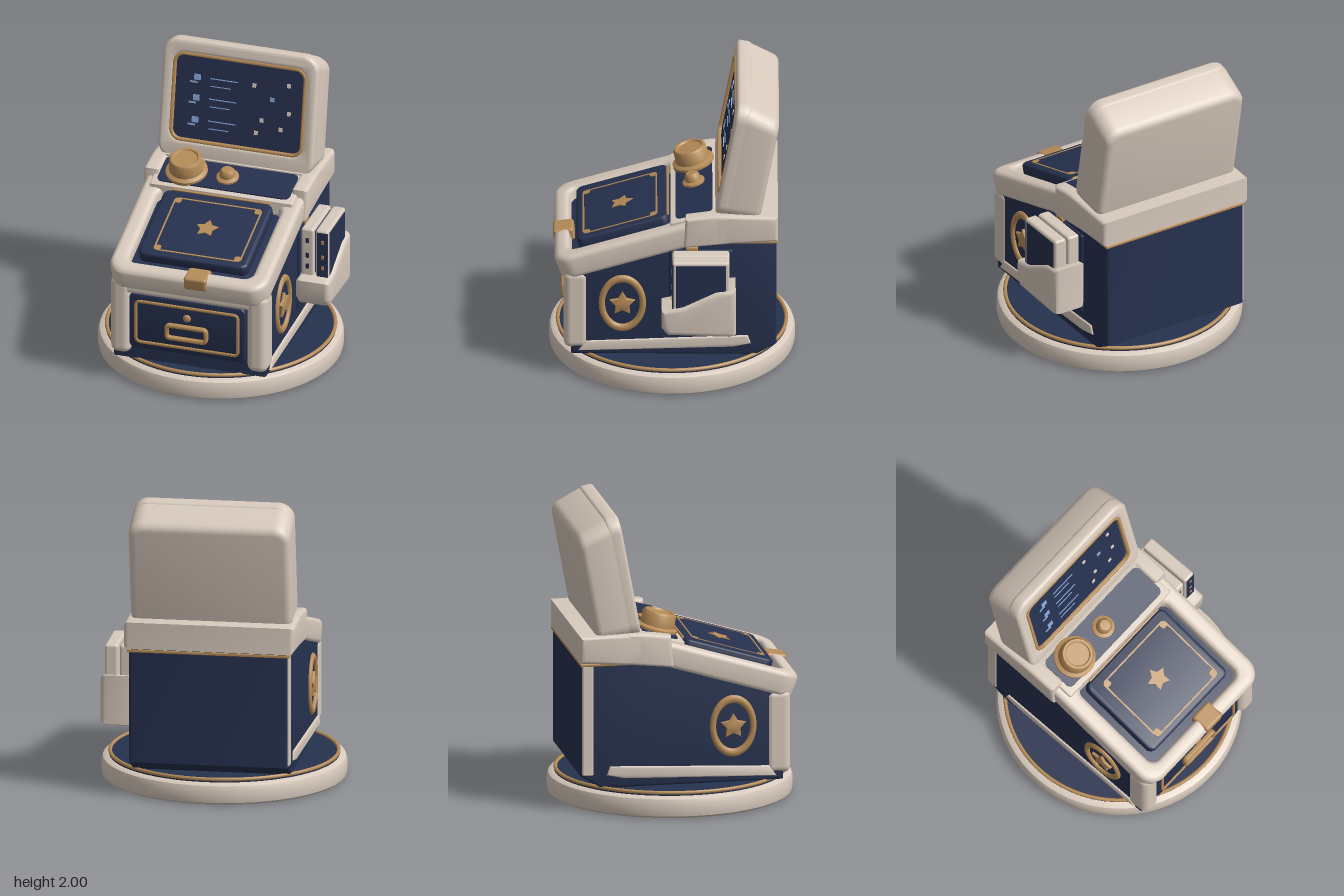
import * as THREE from 'three';
import { toCreasedNormals } from 'three/addons/utils/BufferGeometryUtils.js';
import { RoundedBoxGeometry } from 'three/addons/geometries/RoundedBoxGeometry.js';

const material = (name, color) => {
  const m = new THREE.MeshStandardMaterial({ color });
  m.name = name;
  return m;
};

// Rounded rectangle centred on (cx, cy); works for shapes and holes
function roundRect(w, h, r, cx = 0, cy = 0, Type = THREE.Shape) {
  const s = new Type(), a = w / 2 - r, b = h / 2 - r;
  s.absarc(cx + a, cy + b, r, 0, Math.PI / 2);
  s.absarc(cx - a, cy + b, r, Math.PI / 2, Math.PI);
  s.absarc(cx - a, cy - b, r, Math.PI, Math.PI * 1.5);
  s.absarc(cx + a, cy - b, r, Math.PI * 1.5, Math.PI * 2);
  s.closePath();
  return s;
}

function frameShape(w, h, r, t, cx = 0, cy = 0) {
  const s = roundRect(w, h, r, cx, cy);
  s.holes.push(roundRect(w - 2 * t, h - 2 * t, Math.max(r - t, 0.01), cx, cy, THREE.Path));
  return s;
}

function starShape(r) {
  const pts = [];
  for (let i = 0; i < 10; i++) {
    const a = Math.PI / 2 + i * Math.PI / 5, q = i % 2 ? r * 0.55 : r;
    pts.push(new THREE.Vector2(Math.cos(a) * q, Math.sin(a) * q));
  }
  return new THREE.Shape(pts);
}

const polygon = (pts) => new THREE.Shape(pts.map(([x, y]) => new THREE.Vector2(x, y)));

// Extrude between z0 and z1, keeping the outline size when bevelled
function extrude(shape, z0, z1, bevel = 0) {
  const g = new THREE.ExtrudeGeometry(shape, {
    depth: z1 - z0 - 2 * bevel, bevelEnabled: bevel > 0, bevelThickness: bevel,
    bevelSize: bevel, bevelOffset: -bevel, bevelSegments: 4, curveSegments: 8,
  });
  return g.translate(0, 0, z0 + bevel);
}
const smooth = (g) => toCreasedNormals(g, 0.7);
// Outline drawn as (x, -z), raised along y
const lay = (shape, y0, y1, bevel) => extrude(shape, y0, y1, bevel).rotateX(-Math.PI / 2);
// Outline drawn as (z, y), spanning x0..x1
const sideways = (pts, x0, x1, bevel) => extrude(polygon(pts), -x1, -x0, bevel).rotateY(-Math.PI / 2);

// Move vertices by a rule
function warp(g, rule) {
  const p = g.attributes.position, v = new THREE.Vector3();
  for (let i = 0; i < p.count; i++) {
    rule(v.fromBufferAttribute(p, i));
    p.setXYZ(i, v.x, v.y, v.z);
  }
  return g;
}

export function createModel() {
  const cream = material('cream', 0xd8cabd), navy = material('navy', 0x26314f);
  const gold = material('gold', 0xb68c58), blue = material('pale blue', 0x86a6d8);
  const model = new THREE.Group();
  model.name = 'console';

  const add = (name, geo, mat, parent = model) => {
    const m = new THREE.Mesh(geo, mat);
    m.name = name;
    parent.add(m);
    return m;
  };
  const group = (name, x, y, z, rx = 0, ry = 0) => {
    const g = new THREE.Group();
    g.name = name;
    g.position.set(x, y, z);
    g.rotation.set(rx, ry, 0);
    model.add(g);
    return g;
  };
  const box = (name, mat, x0, x1, y0, y1, z0, z1, r = 0.02, parent = model) =>
    add(name, new RoundedBoxGeometry(x1 - x0, y1 - y0, z1 - z0, 3, r)
      .translate((x0 + x1) / 2, (y0 + y1) / 2, (z0 + z1) / 2), mat, parent);
  const lathe = (pts) => smooth(new THREE.LatheGeometry(pts.map(([x, y]) => new THREE.Vector2(x, y)), 64));

  // Round base
  add('base', lathe([[0, 0], [0.79, 0], [0.81, 0.015], [0.815, 0.04], [0.815, 0.1], [0.805, 0.13], [0.78, 0.145], [0, 0.145]]), cream);
  add('baseTop', new THREE.CylinderGeometry(0.765, 0.765, 0.025, 64).translate(0, 0.15, 0), navy);
  add('baseRing', new THREE.TorusGeometry(0.757, 0.013, 8, 80).rotateX(Math.PI / 2).translate(0, 0.163, 0), gold);

  // Cabinet
  add('cabinet', smooth(sideways([[-0.55, 0.16], [-0.69, 0.24], [-0.69, 1.03], [-0.08, 1.05], [0.67, 0.82], [0.67, 0.17]], -0.535, 0.535, 0.02)), navy);
  for (const s of [-1, 1]) {
    const x = s * 0.475;
    box('frontPost', cream, x - 0.07, x + 0.07, 0.21, 0.78, 0.55, 0.72, 0.05);
    const sill = sideways([[0.62, 0.2], [0.57, 0.27], [-0.5, 0.31], [-0.52, 0.25], [-0.4, 0.225]], 0.52, 0.548, 0.01);
    add('sideSill', smooth(s > 0 ? sill : sill.translate(-1.068, 0, 0)), cream);
  }
  box('rearTrim', cream, -0.542, -0.5, 0.25, 1.03, -0.685, -0.61, 0.01);
  box('frontRail', cream, -0.46, 0.46, 0.66, 0.8, 0.58, 0.71, 0.03);
  box('rearGoldLine', gold, -0.545, 0.545, 0.995, 1.015, -0.698, -0.3, 0.005);

  // Drawer
  add('drawer', smooth(extrude(roundRect(0.81, 0.4, 0.04, -0.01, 0.465), 0.64, 0.702, 0.012)), navy);
  add('drawerOutline', smooth(extrude(frameShape(0.73, 0.32, 0.04, 0.02, -0.01, 0.465), 0.698, 0.713, 0.004)), gold);
  add('drawerHandle', smooth(extrude(frameShape(0.3, 0.12, 0.035, 0.028, -0.01, 0.43), 0.698, 0.735, 0.011)), gold);
  add('drawerStud', new THREE.SphereGeometry(0.028, 16, 10).scale(1, 1, 0.5).translate(-0.01, 0.537, 0.704), gold);

  // Side emblems
  for (const s of [-1, 1]) {
    const e = group('sideEmblem', s * 0.535, 0.55, 0.33, 0, s * Math.PI / 2);
    add('emblemRing', new THREE.TorusGeometry(0.136, 0.021, 10, 48).scale(1, 1.34, 1), gold, e);
    add('emblemStar', smooth(extrude(starShape(0.088), -0.005, 0.02, 0.006)), gold, e);
  }

  // Sloping desk rim with its well
  const rim = roundRect(1.1, 1.03, 0.12, 0, -0.265);
  rim.holes.push(roundRect(0.86, 0.68, 0.06, 0, -0.34, THREE.Path));
  add('deskRim', smooth(warp(lay(rim, -0.175, 0, 0.035), (v) => {
    if (v.y < -0.1 && v.z > 0.6) v.z -= 0.035;
    v.y += 1.13 - 0.3 * (v.z + 0.08);
  })), cream);

  // Lid
  const lid = group('lid', 0, 1.03, 0.335, 0.29);
  add('lidPanel', smooth(lay(roundRect(0.76, 0.63, 0.05), -0.085, 0, 0.02)), navy, lid);
  add('lidOutline', lay(frameShape(0.61, 0.515, 0.03, 0.011, 0.02, -0.01), -0.003, 0.003), gold, lid);
  for (const sx of [-1, 1]) for (const sz of [-1, 1])
    add('lidCorner', lay(roundRect(0.045, 0.045, 0.015, 0.02 + sx * 0.278, -0.01 + sz * 0.23), -0.003, 0.004), gold, lid);
  add('lidStar', lay(starShape(0.08), -0.003, 0.006).translate(0.01, 0, 0), gold, lid);
  box('lidHinge', gold, -0.33, 0.35, -0.015, 0.002, -0.325, -0.31, 0.004, lid);
  const latch = group('latch', 0.07, 0.845, 0.715, 0.15);
  box('latchPlate', gold, -0.08, 0.08, -0.045, 0.05, -0.07, 0.07, 0.02, latch);

  // Rear collar and control panel
  add('rearCollar', smooth(sideways([[-0.7, 1.02], [-0.7, 1.2], [-0.27, 1.21], [-0.27, 0.99]], -0.57, 0.57, 0.03)), cream);
  for (const x0 of [-0.57, 0.46])
    add('collarArm', smooth(sideways([[-0.38, 1.0], [-0.38, 1.208], [-0.27, 1.21], [-0.09, 1.185], [-0.075, 0.97]], x0, x0 + 0.11, 0.025)), cream);
  add('panelBed', smooth(sideways([[-0.4, 1.05], [-0.4, 1.19], [-0.28, 1.2], [0.01, 1.125], [0.01, 1.04]], -0.5, 0.5, 0.012)), cream);
  const panel = group('controlPanel', 0, 1.168, -0.145, 0.25);
  add('panelPlate', lay(roundRect(0.92, 0.25, 0.04), -0.004, 0.005), navy, panel);
  add('largeKnob', lathe([[0, 0], [0.14, 0], [0.14, 0.022], [0.115, 0.035], [0.11, 0.115], [0.1, 0.128], [0.085, 0.128], [0.078, 0.118], [0, 0.118]]), gold, panel).position.x = -0.285;
  add('smallKnob', lathe([[0, 0], [0.075, 0], [0.075, 0.018], [0.052, 0.028], [0.05, 0.06], [0.035, 0.077], [0, 0.08]]), gold, panel);

  // Leaning screen
  const screen = group('screen', 0, 1.18, -0.28, -0.185);
  add('screenHousing', smooth(warp(extrude(roundRect(1.08, 0.84, 0.11, 0, 0.415), -0.3, -0.03, 0.045), (v) => {
    v.y += Math.max(0, v.y - 0.4) * 0.18 * Math.min(0, v.z + 0.06) / 0.24;
  })), cream, screen);
  const bezel = roundRect(1.08, 0.84, 0.11, 0, 0.415);
  bezel.holes.push(roundRect(0.91, 0.6, 0.07, 0, 0.437, THREE.Path));
  add('screenBezel', smooth(extrude(bezel, -0.1, 0, 0.025)), cream, screen);
  add('screenRim', smooth(extrude(frameShape(0.93, 0.62, 0.08, 0.022, 0, 0.437), -0.04, 0.003, 0.006)), gold, screen);
  add('screenGlass', extrude(roundRect(0.9, 0.59, 0.06, 0, 0.437), -0.029, -0.02), navy, screen);

  // Screen marks, given as x, world height, width, height
  const mark = (name, mat, x, y, w, h) =>
    add(name, new THREE.BoxGeometry(w, h, 0.006).translate(x, (y - 1.18) / 0.983, -0.018), mat, screen);
  for (const y of [1.74, 1.6, 1.45]) {
    mark('screenIcon', blue, -0.295, y + 0.01, 0.045, 0.04);
    mark('screenIconFoot', blue, -0.32, y - 0.025, 0.05, 0.012);
    mark('screenLine', blue, -0.11, y + 0.012, 0.19, 0.006);
    mark('screenLine', blue, -0.13, y - 0.04, 0.14, 0.005);
  }
  for (const [x, y] of [[0.1, 1.75], [0.34, 1.78], [0.35, 1.59], [0.165, 1.52], [0.3, 1.475], [0.13, 1.43]])
    mark('screenStar', cream, x, y, 0.026, 0.028);
  mark('screenBlueStar', blue, 0.23, 1.67, 0.03, 0.028);

  // Side pocket and books
  box('pocketPad', navy, 0.52, 0.552, 0.36, 0.95, -0.4, 0.02, 0.012);
  add('pocket', smooth(sideways([[0.03, 0.42], [0.07, 0.47], [0.07, 0.6], [-0.07, 0.63], [-0.19, 0.69], [-0.29, 0.74], [-0.42, 0.755], [-0.42, 0.42], [-0.38, 0.405]], 0.535, 0.77, 0.035)), cream);
  for (const x of [0.555, 0.655]) {
    box('book', cream, x, x + 0.09, 0.5, 0.955, -0.38, 0, 0.018);
    box('bookCover', navy, x + 0.083, x + 0.092, 0.5, 0.935, -0.355, -0.025, 0.004);
  }
  box('bookSpine', navy, 0.668, 0.742, 0.5, 0.94, -0.008, 0.002, 0.004);
  for (const y of [0.68, 0.76, 0.87]) {
    box('spineDot', gold, 0.697, 0.717, y - 0.014, y + 0.014, -0.003, 0.005, 0.002);
    box('spineSquare', navy, 0.587, 0.613, y - 0.018, y + 0.018, -0.004, 0.004, 0.002);
  }
  box('pocketClasp', gold, 0.53, 0.56, 0.94, 0.975, -0.17, -0.09, 0.008);
  return model;
}
